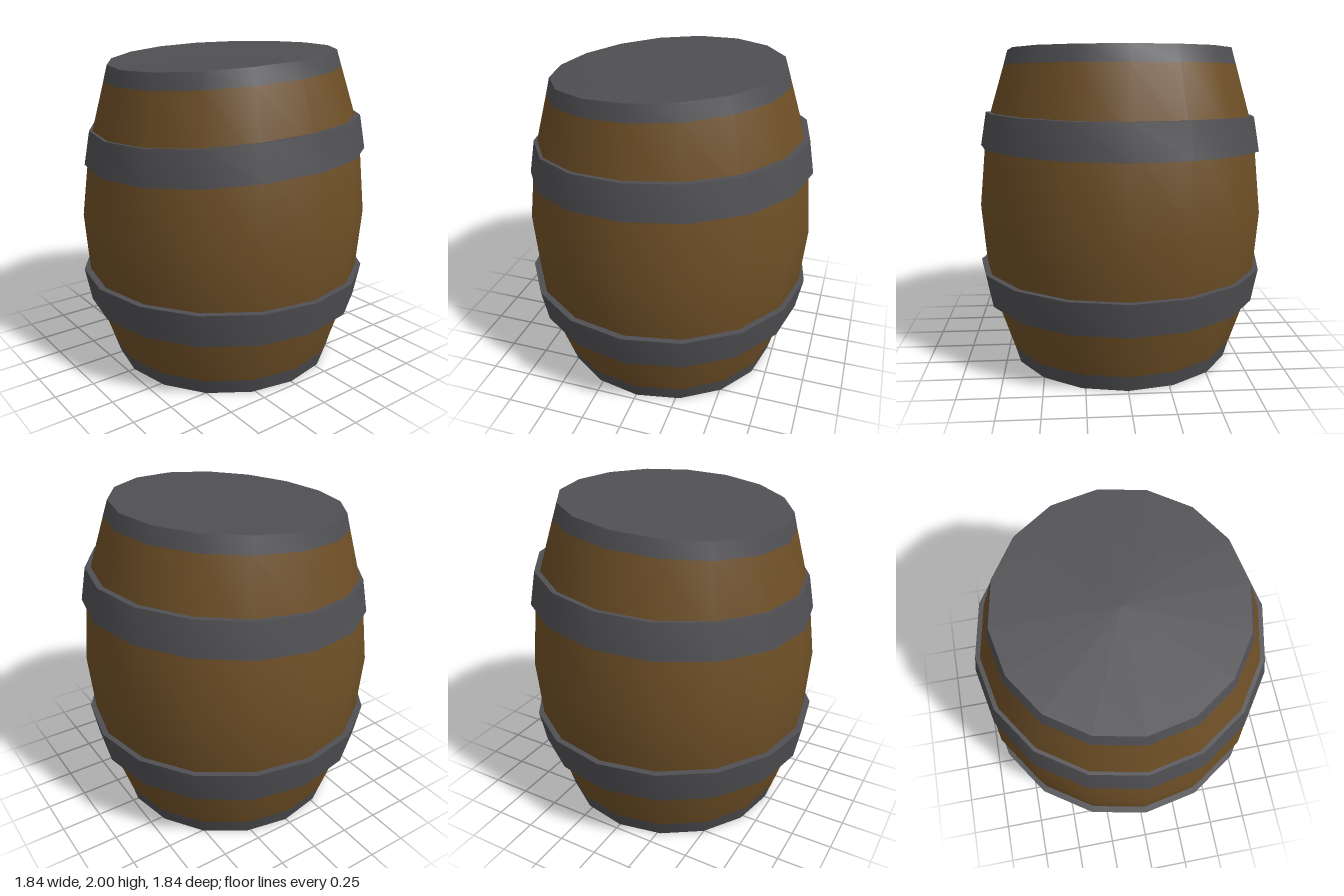
import * as THREE from 'three';
import { toCreasedNormals } from 'three/addons/utils/BufferGeometryUtils.js';

const SIDES = 16;

// Uneven, hand-hewn height offsets around the barrel (c = cos toward +x, s = sin toward +z)
const level = () => 0;
const rimLift = (c) => 0.05 * c - 0.015 * c * c;
const hoopLift = (c, s) => 0.045 * c - 0.035 * c * c + 0.015 * (s - 1) * (1 - c * c);

// Turned surface from rows { r, y, dx, lift }, running bottom to top
function turned(rows) {
  const geo = new THREE.LatheGeometry(rows.map((p) => new THREE.Vector2(p.r, p.y)), SIDES);
  const pos = geo.attributes.position;
  for (let i = 0; i < pos.count; i++) {
    const row = rows[i % rows.length];
    const phi = (Math.floor(i / rows.length) % SIDES) * Math.PI * 2 / SIDES;
    const c = Math.sin(phi), s = Math.cos(phi);
    const lift = row.r > 0 ? (row.lift ?? level)(c, s) : 0;
    pos.setXYZ(i, row.r * c + (row.dx ?? 0), row.y + lift, row.r * s);
  }
  return geo;
}

export function createModel() {
  const wood = new THREE.MeshStandardMaterial({ color: 0x6e4f26 });
  wood.name = 'brown wood';
  const iron = new THREE.MeshStandardMaterial({ color: 0x504f53 });
  iron.name = 'grey iron';

  const barrel = new THREE.Group();
  barrel.name = 'barrel';

  // Staves with iron rim bands and end caps
  const rows = [
    { r: 0, y: 0 },
    { r: 0.712, y: 0, dx: 0.003 },
    { r: 0.742, y: 0.1 },
    { r: 0.872, y: 0.5 },
    { r: 0.908, y: 0.98, dx: 0.003 },
    { r: 0.855, y: 1.48, dx: 0.005, lift: hoopLift },
    { r: 0.735, y: 1.868, dx: -0.008, lift: rimLift },
    { r: 0.707, y: 1.965, dx: -0.012, lift: rimLift },
    { r: 0, y: 1.962, dx: -0.012 },
  ];
  const bodyGeo = turned(rows);
  const bands = rows.length - 1;
  for (let i = 0; i < SIDES; i++) {
    for (let j = 0; j < bands; j++) {
      bodyGeo.addGroup((i * bands + j) * 6, 6, j >= 2 && j <= 5 ? 0 : 1);
    }
  }
  const body = new THREE.Mesh(toCreasedNormals(bodyGeo, 0.7), [wood, iron]);
  body.name = 'barrelBody';
  barrel.add(body);

  // Raised hoops; inner edges sink into the staves
  function hoop(name, rBottom, rTop, y0, y1, dx, lift) {
    const section = [
      { r: rBottom - 0.06, y: y0, dx, lift },
      { r: rBottom, y: y0, dx, lift },
      { r: rTop, y: y1, dx, lift },
      { r: rTop - 0.06, y: y1, dx, lift },
    ];
    const mesh = new THREE.Mesh(toCreasedNormals(turned(section), 0.7), iron);
    mesh.name = name;
    barrel.add(mesh);
  }
  hoop('lowerHoop', 0.878, 0.918, 0.4, 0.612, -0.002, level);
  hoop('upperHoop', 0.89, 0.852, 1.375, 1.585, 0.01, hoopLift);

  return barrel;
}
